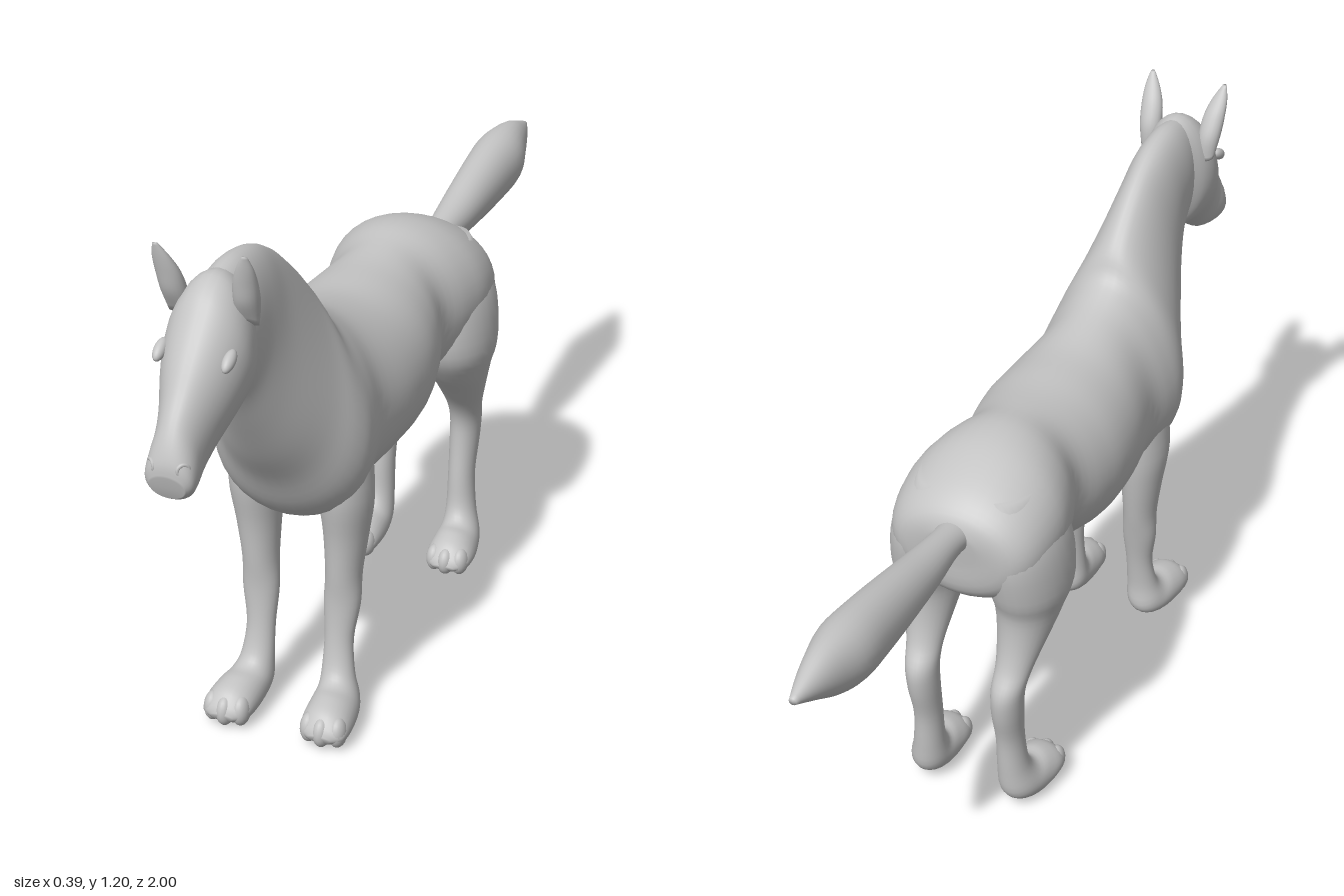
import * as THREE from 'three';

const grey = new THREE.MeshStandardMaterial({ color: 0xc4c4c4 });
grey.name = 'plain grey';

// Smooth loft. Each section: [z1, y1, z2, y2, halfWidth, centreX = 0, taper = 0],
// an oval between two profile points; taper narrows the z1/y1 side.
function loft(name, rows, side = 1, sub = 4, n = 28) {
  const rowAt = i => rows[Math.min(Math.max(i, 0), rows.length - 1)];
  const val = (i, k) => rowAt(i)[k] ?? 0;
  const cr = (a, b, c, d, t) => 0.5 * (2 * b + (c - a) * t + (2 * a - 5 * b + 4 * c - d) * t * t
    + (3 * b - a - 3 * c + d) * t * t * t);
  const pos = [], idx = [], rings = (rows.length - 1) * sub + 1;
  const centres = [];
  for (let r = 0; r < rings; r++) {
    const i = Math.min(Math.floor(r / sub), rows.length - 2), t = r / sub - i;
    const [z1, y1, z2, y2, w, x, e] = [0, 1, 2, 3, 4, 5, 6].map(
      k => cr(val(i - 1, k), val(i, k), val(i + 1, k), val(i + 2, k), t));
    centres.push([side * x, (y1 + y2) / 2, (z1 + z2) / 2]);
    for (let j = 0; j < n; j++) {
      const a = j / n * Math.PI * 2, s = Math.sin(a), c = Math.cos(a);
      pos.push(side * x + w * c * (1 - e * s), (y1 + y2) / 2 + (y1 - y2) / 2 * s, (z1 + z2) / 2 + (z1 - z2) / 2 * s);
    }
  }
  for (let r = 0; r < rings - 1; r++) for (let j = 0; j < n; j++) {
    const a = r * n + j, b = r * n + (j + 1) % n;
    idx.push(a, b, a + n, b, b + n, a + n);
  }
  // end caps
  const first = rings * n, base = (rings - 1) * n;
  pos.push(...centres[0], ...centres[rings - 1]);
  for (let j = 0; j < n; j++) {
    const k = (j + 1) % n;
    idx.push(first, k, j, first + 1, base + j, base + k);
  }
  // turn the faces outward
  let volume = 0;
  const P = i => new THREE.Vector3().fromArray(pos, i * 3);
  for (let i = 0; i < idx.length; i += 3) volume += P(idx[i]).dot(P(idx[i + 1]).cross(P(idx[i + 2])));
  if (volume < 0) idx.reverse();
  const g = new THREE.BufferGeometry();
  g.setAttribute('position', new THREE.Float32BufferAttribute(pos, 3));
  g.setIndex(idx);
  g.computeVertexNormals();
  const m = new THREE.Mesh(g, grey);
  m.name = name;
  return m;
}

function blob(name, x, y, z, rx, ry, rz, tilt = 0) {
  const m = new THREE.Mesh(new THREE.SphereGeometry(1, 20, 14), grey);
  m.name = name;
  m.position.set(x, y, z);
  m.scale.set(rx, ry, rz);
  m.rotation.x = tilt;
  return m;
}

// rump, barrel, chest and neck in one skin
const BODY = [
  [-.375, .74, -.365, .66, .05], [-.36, .778, -.355, .59, .125], [-.31, .818, -.31, .55, .165],
  [-.22, .855, -.22, .53, .178], [-.14, .866, -.14, .52, .163], [-.06, .857, -.06, .512, .138],
  [.02, .85, .02, .482, .16], [.1, .85, .1, .467, .173], [.2, .853, .2, .465, .168, 0, .03],
  [.3, .875, .32, .463, .15, 0, .1], [.36, .9, .4, .463, .158, 0, .18], [.39, .925, .46, .475, .16, 0, .25],
  [.41, .965, .51, .52, .147, 0, .3], [.44, 1.003, .56, .6, .122, 0, .3], [.49, 1.05, .62, .68, .098, 0, .25],
  [.55, 1.095, .675, .765, .077, 0, .15], [.62, 1.128, .715, .83, .066], [.7, 1.14, .745, .875, .062],
  [.77, 1.13, .77, .89, .055],
];
const HEAD = [
  [.71, 1.12, .72, .89, .05], [.77, 1.138, .74, .87, .074], [.82, 1.115, .765, .865, .083],
  [.86, 1.07, .79, .858, .08], [.9, 1.02, .82, .84, .069], [.935, .97, .86, .815, .054],
  [.965, .93, .9, .79, .046], [.985, .895, .935, .778, .048], [.998, .86, .965, .777, .047],
  [1, .835, .985, .787, .034],
];
const TAIL = [
  [-.33, .76, -.33, .69, .04], [-.4, .767, -.4, .698, .035], [-.5, .783, -.5, .69, .044],
  [-.6, .804, -.6, .685, .051], [-.72, .826, -.72, .684, .058], [-.81, .835, -.81, .69, .061],
  [-.89, .83, -.87, .705, .045], [-.95, .812, -.94, .745, .027], [-1, .793, -1, .778, .008],
];
const FRONT_LEG = [
  [.46, .62, .32, .62, .05, .095], [.462, .52, .325, .5, .055, .098], [.445, .42, .335, .42, .046, .096],
  [.437, .33, .352, .33, .038, .092], [.432, .26, .368, .26, .039, .09], [.437, .18, .385, .18, .031, .087],
  [.452, .12, .395, .1, .035, .09], [.475, .098, .395, .04, .043, .096], [.51, .095, .43, .012, .05, .102],
  [.548, .084, .5, .004, .053, .106], [.572, .06, .55, .012, .046, .108], [.58, .042, .572, .026, .022, .108],
];
const HIND_LEG = [
  [-.14, .8, -.32, .8, .05, .075], [-.11, .69, -.36, .69, .08, .1], [-.11, .58, -.345, .58, .083, .111],
  [-.15, .51, -.325, .52, .068, .111], [-.205, .45, -.325, .45, .053, .108], [-.255, .39, -.338, .39, .04, .104],
  [-.277, .34, -.365, .34, .035, .1], [-.278, .28, -.362, .28, .033, .098], [-.27, .2, -.342, .2, .03, .097],
  [-.262, .13, -.335, .11, .034, .1], [-.24, .1, -.325, .045, .043, .106], [-.205, .097, -.28, .012, .05, .11],
  [-.17, .084, -.22, .01, .053, .113], [-.147, .06, -.17, .018, .045, .113], [-.139, .042, -.147, .03, .022, .113],
];
const EAR = [
  [.79, 1.06, .765, 1.04, .02, .068], [.812, 1.1, .765, 1.09, .025, .071], [.822, 1.14, .783, 1.135, .024, .075],
  [.829, 1.175, .804, 1.17, .017, .081], [.833, 1.203, .824, 1.2, .005, .086],
];

export function createModel() {
  const model = new THREE.Group();
  model.name = 'horse';
  model.add(loft('bodyAndNeck', BODY, 1, 4, 40), loft('head', HEAD, 1, 4, 32), loft('tail', TAIL));

  for (const s of [1, -1]) {
    const label = s > 0 ? 'left' : 'right';
    model.add(loft(label + 'FrontLeg', FRONT_LEG, s), loft(label + 'HindLeg', HIND_LEG, s));
    model.add(loft(label + 'Ear', EAR, s, 4, 20));

    // brow, nostril and toes
    model.add(blob(label + 'Brow', s * .067, 1.012, .862, .012, .013, .026, .5));
    const nostril = new THREE.Mesh(new THREE.TorusGeometry(.011, .004, 8, 18), grey);
    nostril.name = label + 'Nostril';
    nostril.position.set(s * .031, .85, .987);
    nostril.rotation.y = s * .75;
    model.add(nostril);
    for (let i = -1; i <= 1; i++) {
      const drop = Math.abs(i) * .01;
      model.add(blob(label + 'FrontToe', s * .107 + i * .031, .042, .556 - drop, .019, .033, .026));
      model.add(blob(label + 'HindToe', s * .113 + i * .03, .046, -.163 - drop, .019, .031, .026));
    }
  }
  return model;
}
